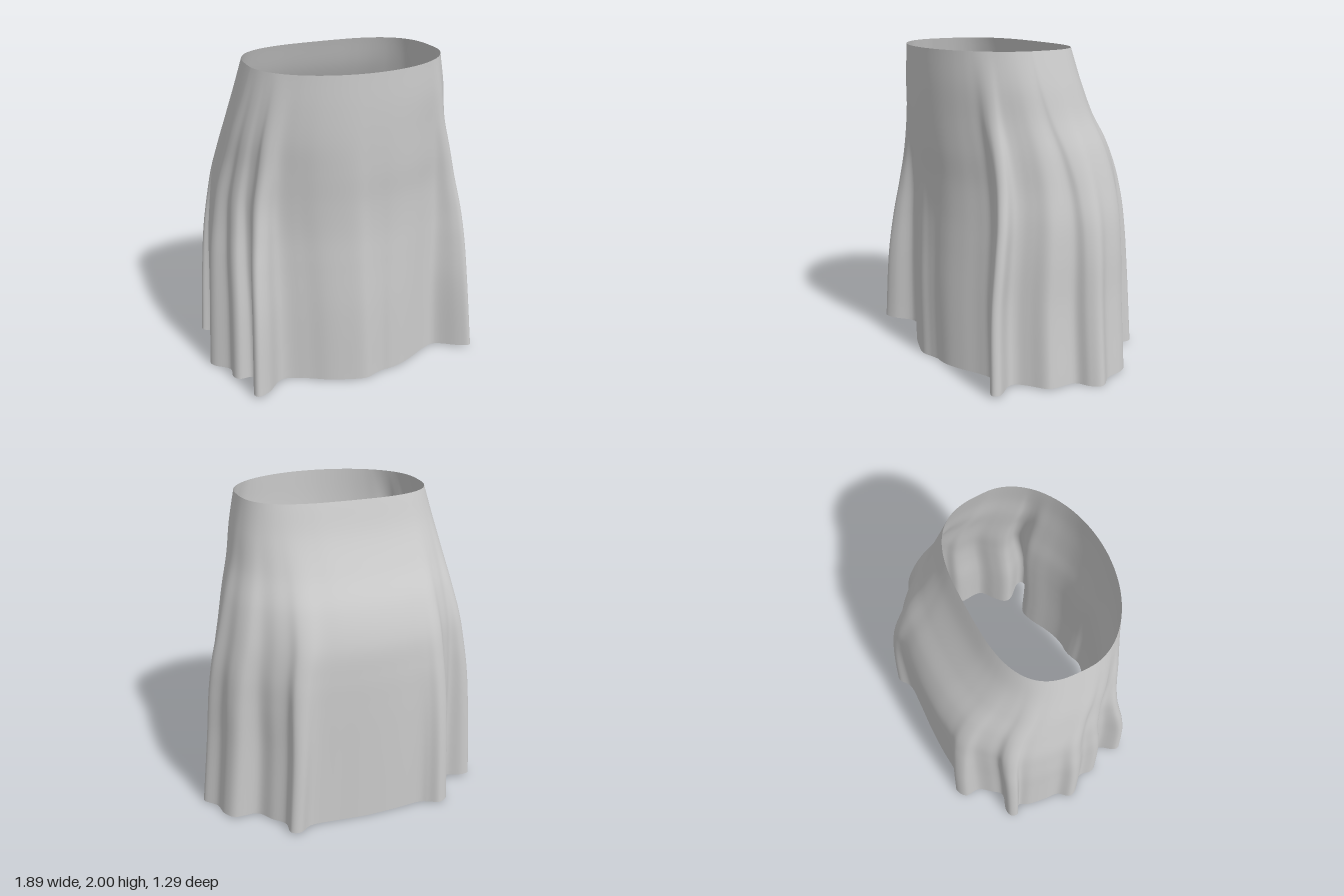
import * as THREE from 'three';

// Hem outline as x, z pairs: front centre, round by -x, the back and +x
const HEM = [
  0, .62, -.08, .645, -.2, .615, -.31, .575, -.43, .51, -.58, .46, -.7, .56, -.78, .59, -.8, .54,
  -.73, .44, -.75, .36, -.83, .35, -.86, .3, -.85, .21, -.93, .13, -.945, .07, -.89, 0, -.88, -.1,
  -.86, -.22, -.83, -.29, -.885, -.33, -.87, -.38, -.81, -.39, -.71, -.36, -.65, -.42, -.59, -.5,
  -.59, -.6, -.52, -.645, -.45, -.61, -.38, -.59, -.2, -.6, 0, -.6, .2, -.59, .36, -.59, .45, -.645,
  .51, -.62, .51, -.52, .58, -.44, .65, -.345, .79, -.34, .85, -.27, .87, -.16, .94, -.07, .9, 0,
  .82, .06, .82, .2, .8, .26, .72, .32, .66, .38, .66, .44, .74, .54, .72, .59, .65, .56,
  .52, .47, .42, .49, .3, .55, .2, .59, .12, .605, .06, .605,
];

// Body profile by height: x min, x max, z back, z front, fold strength, squareness of the back
const HEIGHTS = [0, .5, .8, 1, 1.2, 1.4, 1.6, 1.8, 2];
const PROFILE = [
  [-.945, .94, -.645, .65, 1, 2.2], [-.92, .89, -.64, .645, .87, 2.2], [-.9, .865, -.632, .63, .72, 2.2],
  [-.875, .835, -.622, .62, .58, 2.2], [-.845, .785, -.598, .62, .42, 2.2], [-.8, .73, -.525, .63, .27, 2.3],
  [-.755, .665, -.405, .635, .14, 2.5], [-.7, .62, -.3, .635, .05, 2.8], [-.645, .57, -.23, .63, 0, 3],
];
const FRONT_POWER = 2;
const signedPow = (v, p) => Math.sign(v) * Math.abs(v) ** p;

// Point on the rounded oval that fills the given bounds
function oval(b, t) {
  const power = 2 / (Math.sin(t) > 0 ? FRONT_POWER : b[5]);
  const x = signedPow(Math.cos(t), power), z = signedPow(Math.sin(t), power);
  return [(b[0] + b[1]) / 2 + x * (b[1] - b[0]) / 2, (b[2] + b[3]) / 2 + z * (b[3] - b[2]) / 2];
}

// Evenly progressing angle for each hem point, so pleats gather out of a smooth waist
function hemAngles() {
  let angles = [];
  const n = HEM.length / 2, turn = 2 * Math.PI;
  const nearest = (v, a) => v + turn * Math.round((a - v) / turn);
  for (let i = 0; i < n; i++) {
    const a = Math.atan2(HEM[2 * i + 1] / .645, HEM[2 * i] / .945);
    angles.push(i ? nearest(a, angles[i - 1]) : a);
  }
  for (let pass = 0; pass < 5; pass++) {
    angles = angles.map((a, i) =>
      (nearest(angles[(i + n - 1) % n], a) + 2 * a + nearest(angles[(i + 1) % n], a)) / 4);
  }
  // The front corner folds rise towards the sides of the waist
  return angles.map((a) => a - .2 * Math.max(0, Math.sin(a)) * Math.cos(a) * 2);
}

function skirtGeometry(rows = 80, cols = 330) {
  const profile = new THREE.CubicInterpolant(HEIGHTS, PROFILE.flat(), 6, new Float32Array(6));
  const angles = hemAngles();
  // Pleats are the hem's departure from its plain oval
  const pleats = angles.map((t, i) => {
    const [x, z] = oval(PROFILE[0], t);
    return [HEM[2 * i] - x, HEM[2 * i + 1] - z];
  });
  const positions = [], index = [];
  for (let r = 0; r <= rows; r++) {
    const y = 2 * (1 - r / rows);
    const b = Array.from(profile.evaluate(y));
    const ring = new THREE.CatmullRomCurve3(angles.map((t, i) => {
      const [x, z] = oval(b, t);
      // Pleats start lower down at the back, under the hips
      const fold = Math.max(0, b[4]) ** (1 + .5 * Math.max(0, -Math.sin(t)));
      const lift = .04 * (1 - y / 2) * Math.abs(HEM[2 * i] * HEM[2 * i + 1]);
      return new THREE.Vector3(x + fold * pleats[i][0], y + lift, z + fold * pleats[i][1]);
    }), true, 'catmullrom', .5);
    for (let c = 0; c < cols; c++) {
      positions.push(...ring.getPoint(c / cols).toArray());
      if (r === rows) continue;
      const a = r * cols + c, n = r * cols + (c + 1) % cols;
      index.push(a + cols, a, n + cols, a, n, n + cols);
    }
  }
  const geometry = new THREE.BufferGeometry();
  geometry.setAttribute('position', new THREE.Float32BufferAttribute(positions, 3));
  geometry.setIndex(index);
  geometry.computeVertexNormals();
  return geometry;
}

export function createModel() {
  const group = new THREE.Group();
  group.name = 'skirt';
  const cloth = new THREE.MeshStandardMaterial({ color: 0xcccccc, side: THREE.DoubleSide });
  const skirt = new THREE.Mesh(skirtGeometry(), cloth);
  skirt.name = 'pleatedSkirt';
  group.add(skirt);
  return group;
}
